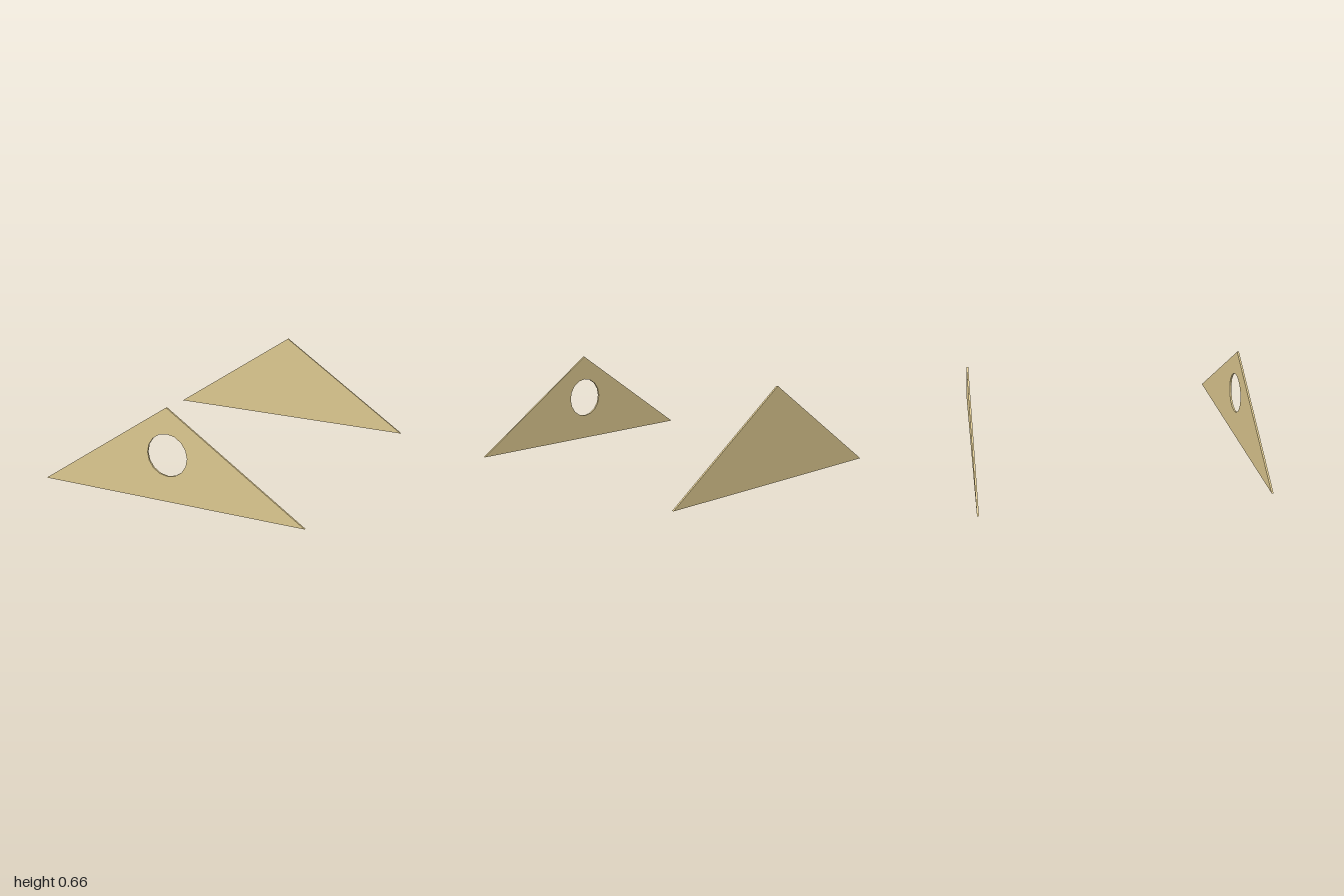
import * as THREE from 'three';

const HALF_WIDTH = 0.98;
const HEIGHT = 0.66;
const THICKNESS = 0.013;

// Thin triangular gable board, optionally with a round opening
function gable(name, z, withHole, material) {
  const shape = new THREE.Shape();
  shape.moveTo(-HALF_WIDTH, 0);
  shape.lineTo(HALF_WIDTH, 0);
  shape.lineTo(0, HEIGHT);
  shape.closePath();
  if (withHole) {
    const hole = new THREE.Path();
    hole.absarc(0, 0.33, 0.148, 0, Math.PI * 2, true);
    shape.holes.push(hole);
  }
  const geometry = new THREE.ExtrudeGeometry(shape, {
    depth: THICKNESS, bevelEnabled: false, curveSegments: 8,
  });
  const mesh = new THREE.Mesh(geometry, material);
  mesh.name = name;
  mesh.position.z = z;
  return mesh;
}

export function createModel() {
  const group = new THREE.Group();
  group.name = 'gablePair';
  const wood = new THREE.MeshStandardMaterial({ color: 0xdcc78f });
  // Front board has the opening, back board is solid
  group.add(gable('frontGable', 1 - THICKNESS, true, wood));
  group.add(gable('backGable', -1, false, wood));
  return group;
}
